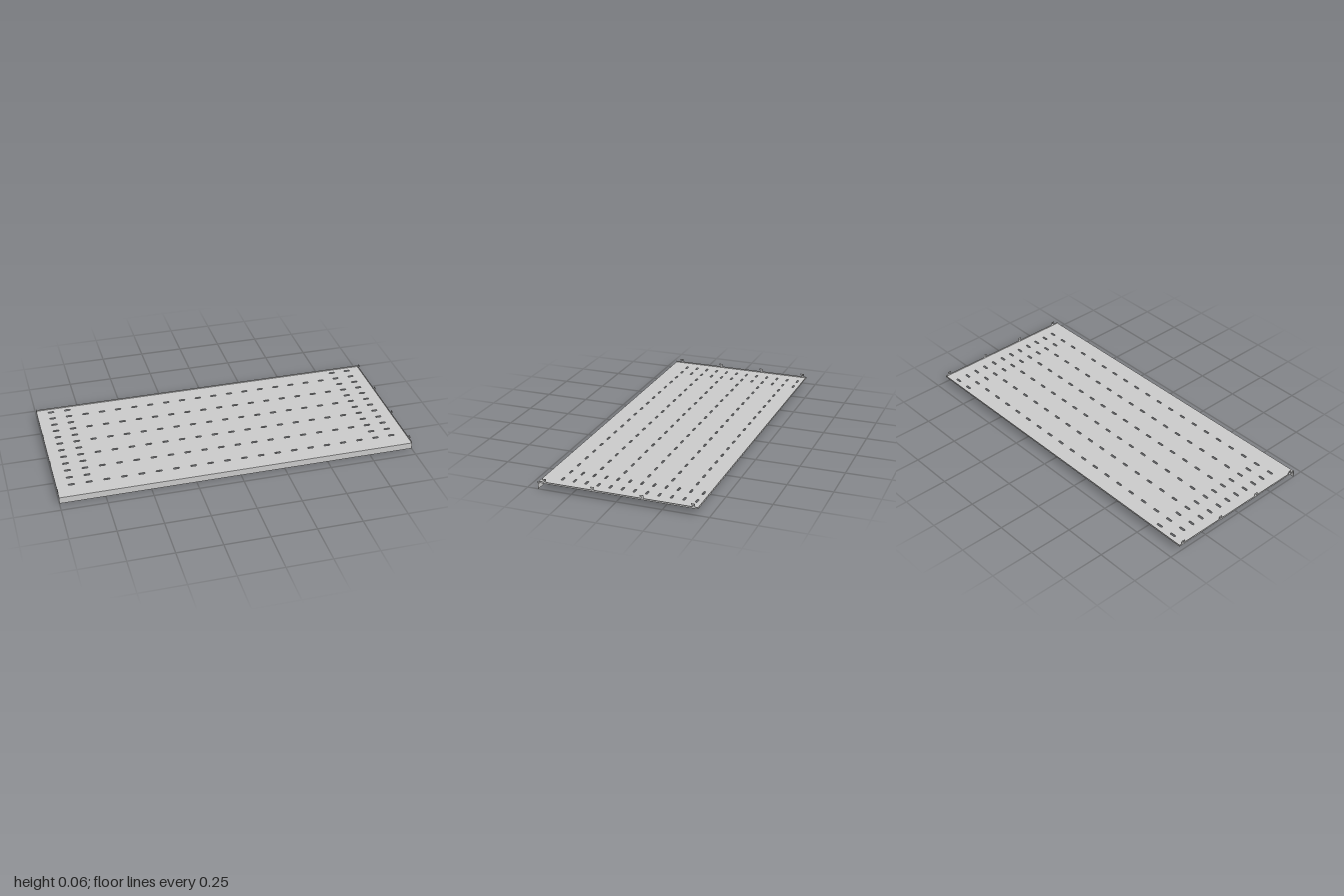
import * as THREE from 'three';

const T = 0.002;            // sheet thickness
const HALF_X = 1, HALF_Z = 0.44;
const SHEET_Y = 0.035, LIP_Y = 0.044;

function slot(cx, cy, w, h) {
  const r = h / 2, s = w / 2 - r;
  const p = new THREE.Path();
  p.moveTo(cx - s, cy - r);
  p.lineTo(cx + s, cy - r);
  p.absarc(cx + s, cy, r, -Math.PI / 2, Math.PI / 2, false);
  p.lineTo(cx - s, cy + r);
  p.absarc(cx - s, cy, r, Math.PI / 2, Math.PI * 1.5, false);
  return p;
}

// Hook tab profile: stem with a head overhanging to the front, drawn in z and y
function hookShape(z, pierced) {
  const s = new THREE.Shape();
  s.moveTo(z, LIP_Y - 0.001);
  s.lineTo(z + 0.011, LIP_Y - 0.001);
  s.lineTo(z + 0.011, 0.051);
  s.lineTo(z + 0.019, 0.051);
  s.quadraticCurveTo(z + 0.021, 0.051, z + 0.021, 0.053);
  s.lineTo(z + 0.021, 0.059);
  s.quadraticCurveTo(z + 0.021, 0.061, z + 0.019, 0.061);
  s.lineTo(z + 0.002, 0.061);
  s.quadraticCurveTo(z, 0.061, z, 0.059);
  s.closePath();
  if (pierced) {
    const hole = new THREE.Path();
    hole.absarc(z + 0.007, 0.0545, 0.003, 0, Math.PI * 2, true);
    s.holes.push(hole);
  }
  return s;
}

export function createModel() {
  const group = new THREE.Group();
  const mat = new THREE.MeshStandardMaterial({ color: 0xcccccc, side: THREE.DoubleSide });
  const add = (name, geo, x = 0, y = 0, z = 0) => {
    const m = new THREE.Mesh(geo, mat);
    m.name = name;
    m.position.set(x, y, z);
    group.add(m);
    return m;
  };

  // Slotted shelf panel: alternate rows run the full length, the others only at the ends
  const panel = new THREE.Shape();
  panel.moveTo(-HALF_X, -HALF_Z);
  panel.lineTo(HALF_X, -HALF_Z);
  panel.lineTo(HALF_X, HALF_Z);
  panel.lineTo(-HALF_X, HALF_Z);
  panel.closePath();
  for (let row = 0; row < 12; row++) {
    const z = -0.405 + row * 0.0673;
    for (let col = 0; col < 20; col++) {
      const atEnd = col < 2 || col > 17;
      if (row % 2 === 0 && !atEnd) continue;
      panel.holes.push(slot(-0.917 + col * 0.0965, z, 0.035, 0.011));
    }
  }
  const panelGeo = new THREE.ExtrudeGeometry(panel, { depth: T, bevelEnabled: false, curveSegments: 4 });
  panelGeo.rotateX(Math.PI / 2);
  add('shelfPanel', panelGeo, 0, SHEET_Y + T, 0);

  // Front apron hanging down, low lip standing up along the back
  add('frontFlange', new THREE.BoxGeometry(2 * HALF_X, SHEET_Y, T), 0, SHEET_Y / 2, HALF_Z - T / 2);
  const lipH = LIP_Y - SHEET_Y;
  add('backLip', new THREE.BoxGeometry(2 * HALF_X, lipH, T), 0, SHEET_Y + lipH / 2, -HALF_Z + T / 2);

  // Side lips with hook tabs
  const hooks = [[0.392, true], [0.121, false], [-0.15, false], [-0.423, true]];
  for (const [side, sx] of [['left', 1], ['right', -1]]) {
    add(side + 'Lip', new THREE.BoxGeometry(T, lipH, 2 * HALF_Z), sx * (HALF_X - T / 2), SHEET_Y + lipH / 2, 0);
    for (const [z, pierced] of hooks) {
      const geo = new THREE.ExtrudeGeometry(hookShape(z, pierced), { depth: T, bevelEnabled: false, curveSegments: 8 });
      geo.rotateY(-Math.PI / 2);
      add(side + 'Hook', geo, sx > 0 ? HALF_X : -HALF_X + T, 0, 0);
    }
  }
  return group;
}
